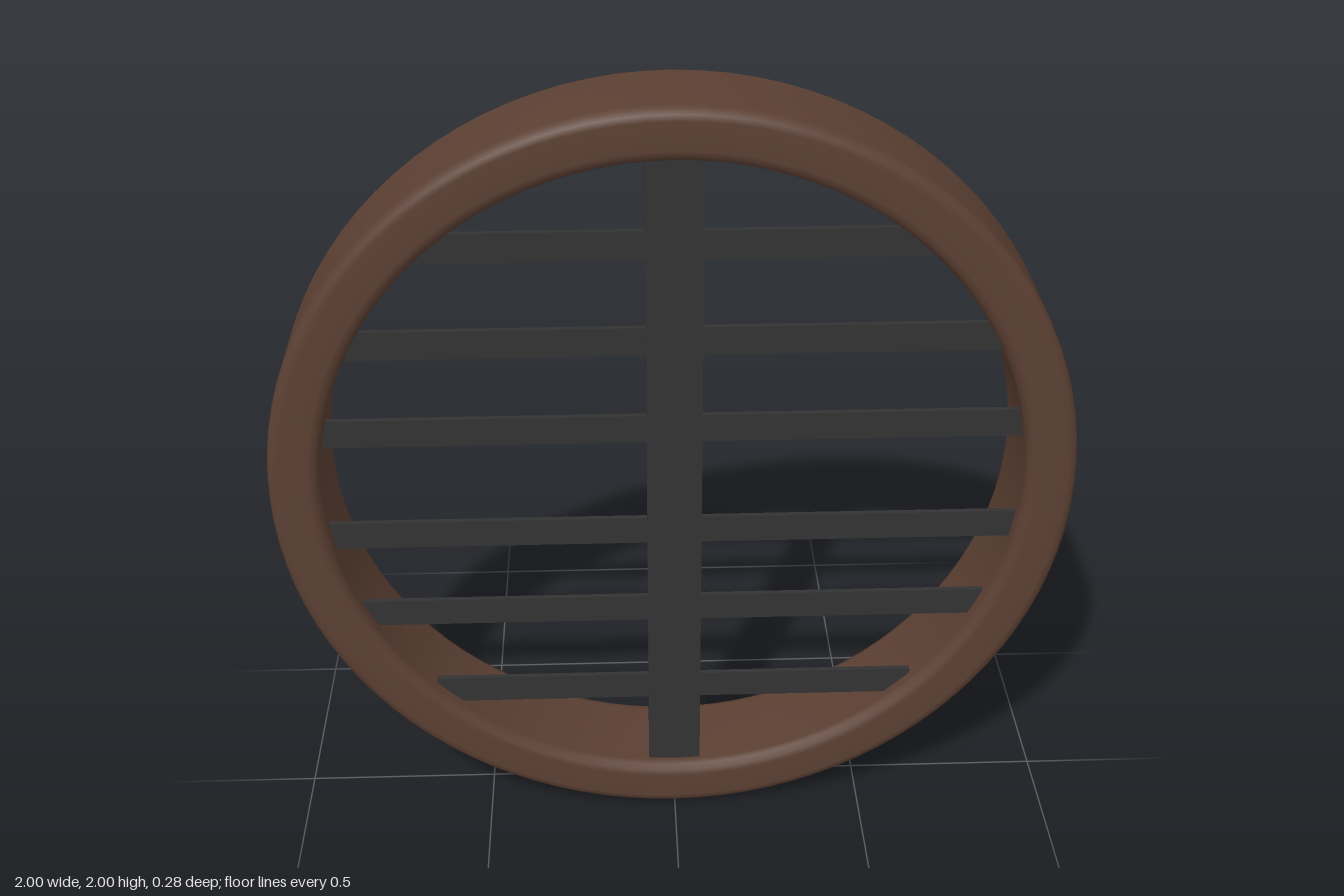
import * as THREE from 'three';

export function createModel() {
  const model = new THREE.Group();
  const wood = new THREE.MeshStandardMaterial({ color: 0x5c4033 });
  const iron = new THREE.MeshStandardMaterial({ color: 0x333333 });

  // Round frame: rounded rectangular section swept about the z axis
  const inner = 0.87, outer = 1, half = 0.14, r = 0.03;
  const profile = [new THREE.Vector2(inner, 0)];
  const corner = (cx, cy, start) => {
    for (let i = 0; i <= 3; i++) {
      const a = start + (i / 3) * Math.PI / 2;
      profile.push(new THREE.Vector2(cx + r * Math.cos(a), cy + r * Math.sin(a)));
    }
  };
  corner(inner + r, -half + r, Math.PI);
  corner(outer - r, -half + r, Math.PI * 1.5);
  corner(outer - r, half - r, 0);
  corner(inner + r, half - r, Math.PI / 2);
  profile.push(new THREE.Vector2(inner, 0));
  const frame = new THREE.Mesh(new THREE.LatheGeometry(profile, 96), wood);
  frame.name = 'frame';
  frame.rotation.x = Math.PI / 2;
  frame.position.y = 1;
  model.add(frame);

  const addBar = (name, w, h, d, y, z) => {
    const bar = new THREE.Mesh(new THREE.BoxGeometry(w, h, d), iron);
    bar.name = name;
    bar.position.set(0, y, z);
    model.add(bar);
  };

  // Upright bar, set toward the front of the frame
  addBar('uprightBar', 0.137, 1.79, 0.034, 1, 0.085);

  // Horizontal slats, ends buried in the frame
  [1.65, 1.4, 1.16, 0.865, 0.625, 0.372].forEach((y, i) => {
    const reach = Math.sqrt(0.9 ** 2 - (Math.abs(y - 1) + 0.037) ** 2) + 0.02;
    addBar('slat' + (i + 1), 2 * reach, 0.074, 0.014, y, 0.085);
  });

  return model;
}
